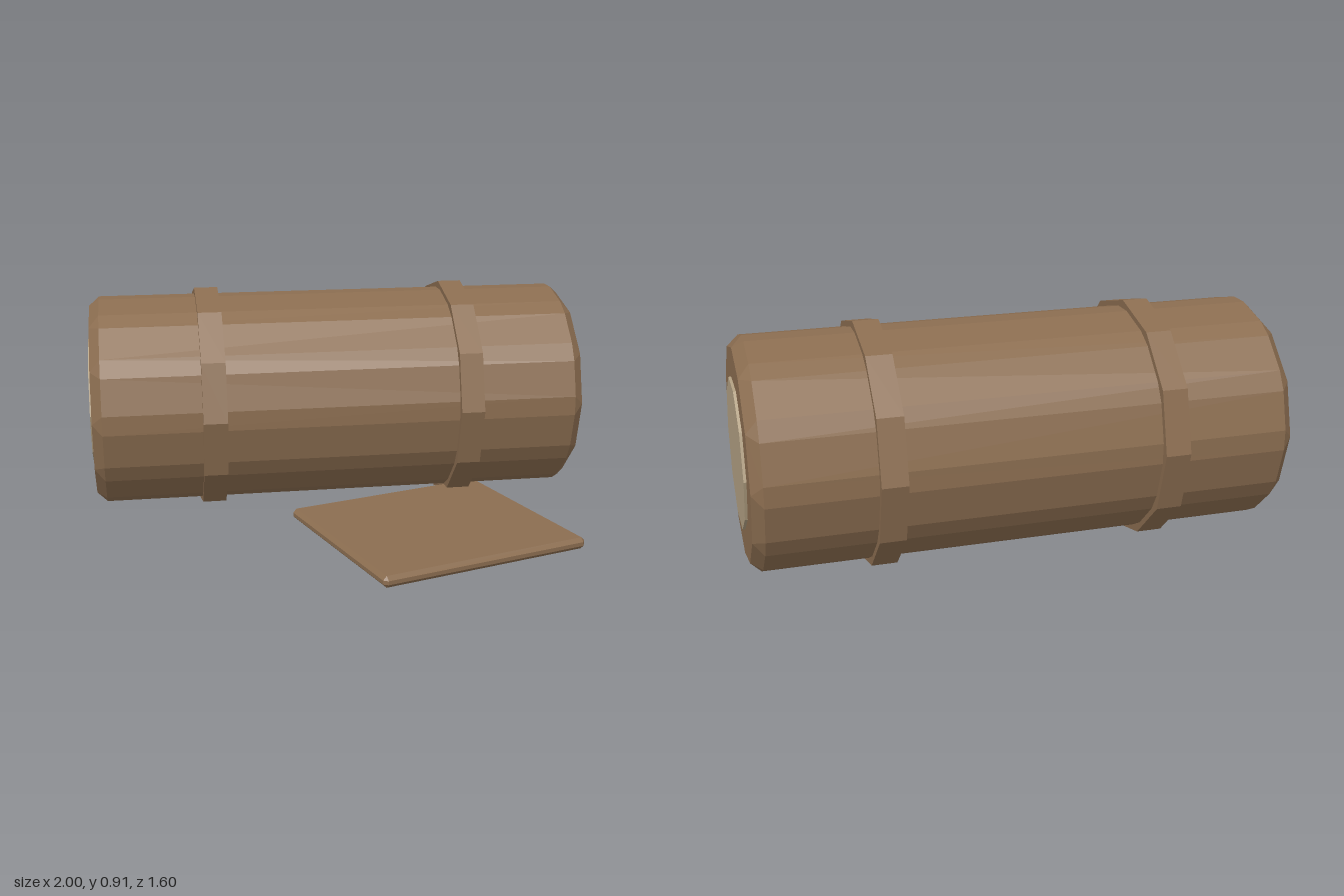
import * as THREE from 'three';
import { ConvexGeometry } from 'three/addons/geometries/ConvexGeometry.js';

// Prism along x whose long edges and rims are all bevelled by the same width
function bevelledPrism(radius, halfLength, sides, bevel) {
  const pts = [];
  const step = (Math.PI * 2) / sides;
  const corner = (i, r) => new THREE.Vector3(0, r * Math.cos(i * step), r * Math.sin(i * step));
  const edge = 2 * radius * Math.sin(step / 2);
  for (const s of [-1, 1]) {
    for (let i = 0; i < sides; i++) {
      pts.push(corner(i, radius - bevel / Math.cos(step / 2)).setX(s * halfLength));
      for (const n of [i - 1, i + 1]) {
        pts.push(corner(i, radius).lerp(corner(n, radius), bevel / edge).setX(s * (halfLength - bevel)));
      }
    }
  }
  return new ConvexGeometry(pts);
}

// Box with every edge chamfered
function chamferedBox(w, h, d, b) {
  const pts = [];
  for (const x of [-w / 2, w / 2]) for (const y of [-h / 2, h / 2]) for (const z of [-d / 2, d / 2]) {
    const inner = [x, y, z].map((v) => v - Math.sign(v) * b);
    pts.push(new THREE.Vector3(x, inner[1], inner[2]));
    pts.push(new THREE.Vector3(inner[0], y, inner[2]));
    pts.push(new THREE.Vector3(inner[0], inner[1], z));
  }
  return new ConvexGeometry(pts);
}

export function createModel() {
  const model = new THREE.Group();
  model.name = 'barrelAndBoard';

  const wood = new THREE.MeshStandardMaterial({ color: 0x8b6d50, flatShading: true });
  wood.name = 'brownWood';
  const pale = new THREE.MeshStandardMaterial({ color: 0xb3a183, flatShading: true });
  pale.name = 'paleWood';

  const add = (parent, name, geometry, material, x, y, z) => {
    const mesh = new THREE.Mesh(geometry, material);
    mesh.name = name;
    mesh.position.set(x, y, z);
    parent.add(mesh);
    return mesh;
  };

  // Barrel lying along x
  const barrel = new THREE.Group();
  barrel.name = 'barrel';
  barrel.position.set(-0.004, 0.457, -0.34);
  model.add(barrel);
  add(barrel, 'body', bevelledPrism(0.436, 0.99, 12, 0.04), wood, 0, 0, 0);

  // Hoops and end discs, one of each per side
  const hoopGeo = new THREE.CylinderGeometry(0.457, 0.457, 0.095, 12).rotateZ(Math.PI / 2);
  const discGeo = new THREE.CylinderGeometry(0.275, 0.275, 0.02, 10).rotateZ(Math.PI / 2);
  for (const [side, s] of [['left', 1], ['right', -1]]) {
    add(barrel, side + 'Hoop', hoopGeo, wood, s * 0.515, 0, 0);
    add(barrel, side + 'EndDisc', discGeo, pale, s * 0.99, 0, 0);
  }

  // Flat board on the ground, turned slightly
  const board = add(model, 'board', chamferedBox(0.87, 0.045, 0.8, 0.015), wood, 0.315, 0.044, 0.293);
  board.rotation.y = THREE.MathUtils.degToRad(17);

  return model;
}
